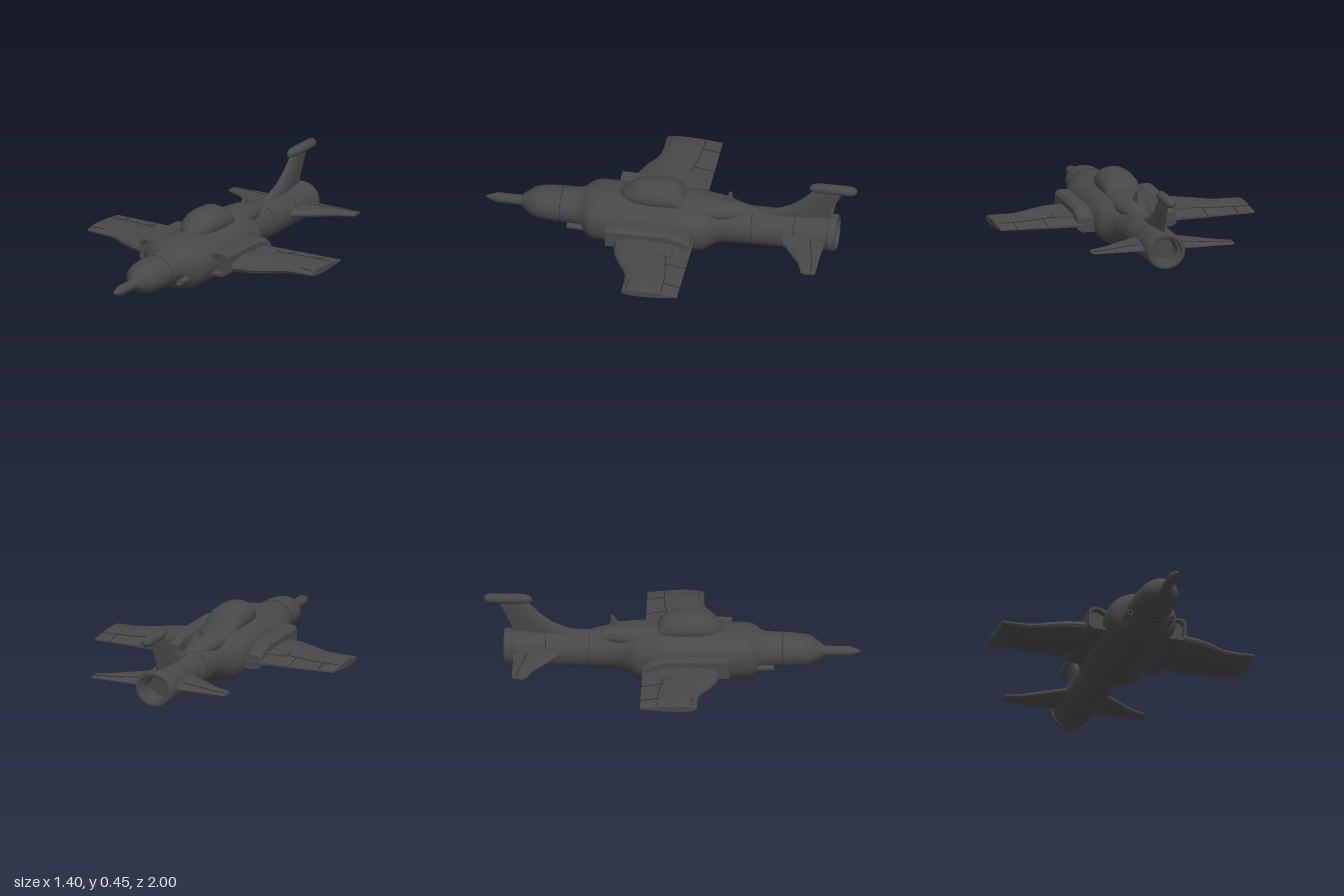
import * as THREE from 'three';
import { toCreasedNormals } from 'three/addons/utils/BufferGeometryUtils.js';

const paint = new THREE.MeshStandardMaterial({ color: 0x484848, name: 'dark grey paint' });
const lineGrey = new THREE.MeshStandardMaterial({ color: 0x2c2c2c, name: 'panel line grey' });

// Skins equal-length rings of [x, y, z] points and caps both ends.
function loft(rings, crease = 0.6) {
  const n = rings[0].length, pos = rings.flat(2), idx = [];
  for (let i = 0; i < rings.length - 1; i++) {
    for (let j = 0; j < n; j++) {
      const a = i * n + j, b = i * n + (j + 1) % n;
      idx.push(a, a + n, b, b, a + n, b + n);
    }
  }
  [0, rings.length - 1].forEach((r, end) => {
    const c = pos.length / 3;
    for (let k = 0; k < 3; k++) pos.push(rings[r].reduce((s, p) => s + p[k], 0) / n);
    for (let j = 0; j < n; j++) {
      const a = r * n + j, b = r * n + (j + 1) % n;
      idx.push(c, end ? b : a, end ? a : b);
    }
  });
  const g = new THREE.BufferGeometry();
  g.setAttribute('position', new THREE.Float32BufferAttribute(pos, 3));
  g.setIndex(idx);
  return toCreasedNormals(g, crease);
}

// Rounded cross-section: z, half width, bottom, top, squareness.
function oval([z, hw, bottom, top, p = 2], cx = 0, n = 48) {
  const cy = (bottom + top) / 2, h = (top - bottom) / 2;
  const pow = v => Math.sign(v) * Math.abs(v) ** (2 / p);
  return Array.from({ length: n }, (_, i) => {
    const a = i / n * Math.PI * 2;
    return [cx + hw * pow(Math.cos(a)), cy + h * pow(Math.sin(a)), z];
  });
}
const body = (sections, cx = 0, n = 48) => loft(sections.map(s => oval(s, cx, n)));

// Airfoil outline: [chord fraction, relative half thickness].
const foil = [[0, 0], [0.02, 0.4], [0.09, 0.75], [0.22, 0.97], [0.4, 1], [0.7, 0.7], [1, 0.14]];
function airfoil(front, back) {
  const at = ([t, h]) => [front + (back - front) * t, h];
  return [...foil.map(at), ...foil.slice(1).reverse().map(([t, h]) => at([t, -h]))];
}
// Wing sections: x, leading z, trailing z, mid height, half thickness.
const wingGeometry = sections => loft(sections.map(([x, f, b, y, t]) =>
  airfoil(f, b).map(([z, h]) => [x, y + h * t, z])));

// Reflects a geometry across x and restores its face order.
function mirrored(geo) {
  const g = geo.index ? geo.toNonIndexed() : geo.clone();
  for (const name of ['position', 'normal']) {
    const a = g.attributes[name].array;
    for (let i = 0; i < a.length; i += 3) a[i] = -a[i];
    for (let t = 0; t < a.length; t += 9) {
      for (let k = 3; k < 6; k++) [a[t + k], a[t + k + 3]] = [a[t + k + 3], a[t + k]];
    }
  }
  return g;
}

// Thin strip between two points.
function strip(a, b, width = 0.004) {
  const p = new THREE.Vector3(...a), q = new THREE.Vector3(...b);
  const g = new THREE.BoxGeometry(width, 0.003, p.distanceTo(q));
  const o = new THREE.Object3D();
  o.position.copy(p).add(q).multiplyScalar(0.5);
  o.lookAt(q);
  o.updateMatrix();
  return g.applyMatrix4(o.matrix);
}

export function createModel() {
  const model = new THREE.Group();
  model.name = 'jetAircraft';
  const add = (name, geo, mat = paint) => {
    const m = new THREE.Mesh(geo, mat);
    m.name = name;
    model.add(m);
  };
  const pair = (name, geo, mat = paint) => {
    add(name + 'Left', geo, mat);
    add(name + 'Right', mirrored(geo), mat);
  };

  // Fuselage with the open jet nozzle folded in at the back
  add('fuselage', body([
    [0.81, 0.028, 0.108, 0.164], [0.785, 0.05, 0.087, 0.185], [0.74, 0.088, 0.064, 0.215],
    [0.70, 0.1, 0.057, 0.224], [0.64, 0.106, 0.052, 0.23], [0.5, 0.113, 0.047, 0.233],
    [0.475, 0.122, 0.036, 0.238, 2.1], [0.45, 0.155, 0.018, 0.252, 2.2], [0.425, 0.177, 0.008, 0.26, 2.3],
    [0.39, 0.186, 0.002, 0.264, 2.35], [0.28, 0.187, 0, 0.266, 2.35], [0, 0.187, 0, 0.27, 2.35],
    [-0.17, 0.186, 0, 0.262, 2.35], [-0.2, 0.172, 0.004, 0.256, 2.25], [-0.23, 0.145, 0.016, 0.248, 2.1],
    [-0.26, 0.118, 0.026, 0.242], [-0.3, 0.107, 0.03, 0.238], [-0.45, 0.106, 0.032, 0.235],
    [-0.66, 0.106, 0.037, 0.235], [-0.835, 0.104, 0.042, 0.234], [-0.84, 0.1, 0.046, 0.23],
    [-0.85, 0.1, 0.046, 0.23], [-0.855, 0.108, 0.04, 0.236], [-0.88, 0.107, 0.041, 0.235],
    [-0.893, 0.1, 0.047, 0.229], [-0.893, 0.084, 0.059, 0.217], [-0.875, 0.078, 0.064, 0.212],
    [-0.87, 0.066, 0.074, 0.202], [-0.8, 0.058, 0.08, 0.196],
  ]));

  // Nose probe
  add('noseProbe', body([[1, 0.004, 0.132, 0.14], [0.99, 0.011, 0.125, 0.147], [0.945, 0.027, 0.109, 0.163],
    [0.935, 0.028, 0.108, 0.164], [0.87, 0.027, 0.109, 0.163], [0.79, 0.028, 0.108, 0.164]], 0, 24));

  // Canopy and the spine behind it
  add('canopy', body([[0.28, 0.01, 0.23, 0.267], [0.262, 0.04, 0.22, 0.288], [0.235, 0.068, 0.21, 0.314],
    [0.19, 0.088, 0.2, 0.343], [0.14, 0.098, 0.2, 0.356], [0.08, 0.102, 0.2, 0.36], [0, 0.101, 0.2, 0.354],
    [-0.04, 0.098, 0.2, 0.335], [-0.07, 0.09, 0.2, 0.3], [-0.085, 0.08, 0.2, 0.27]]));
  add('spine', body([[0.2, 0.1, 0.17, 0.275, 2.4], [0, 0.108, 0.17, 0.286, 2.4], [-0.2, 0.1, 0.17, 0.284, 2.2],
    [-0.29, 0.085, 0.17, 0.279], [-0.37, 0.06, 0.17, 0.258], [-0.46, 0.04, 0.17, 0.236]]));

  // Swept blade antenna
  add('antenna', loft([[0.26, -0.255, -0.335, 0.014], [0.285, -0.275, -0.33, 0.011],
    [0.31, -0.3, -0.327, 0.009], [0.332, -0.31, -0.325, 0.007]]
    .map(([y, f, b, t]) => airfoil(f, b).map(([z, h]) => [-h * t, y, z]))));

  // Main wings
  const wing = [[0.16, 0.28, -0.15, 0.117, 0.043], [0.27, 0.265, -0.15, 0.117, 0.042],
    [0.36, 0.25, -0.15, 0.118, 0.039], [0.44, 0.215, -0.15, 0.119, 0.034], [0.5, 0.177, -0.15, 0.12, 0.03],
    [0.55, 0.157, -0.15, 0.121, 0.027], [0.61, 0.152, -0.15, 0.122, 0.025],
    [0.695, 0.152, -0.15, 0.123, 0.022], [0.702, 0.148, -0.147, 0.123, 0.017]];
  pair('wing', wingGeometry(wing));
  // Upper wing surface height at chord fraction t of a section
  const top = ([x, f, b, y, th], i) => {
    const [t, h] = foil[i];
    return [x, y + h * th + 0.0005, f + (b - f) * t];
  };
  for (let i = 1; i < 7; i++) pair('aileronLine', strip(top(wing[i], 5), top(wing[i + 1], 5)), lineGrey);
  for (const s of [3, 6]) pair('flapGap', strip(top(wing[s], 5), top(wing[s], 6)), lineGrey);
  pair('tipLine', strip(top(wing[6], 2), top(wing[7], 2)), lineGrey);

  // Wing root boxes with a shallow recess at the front
  const box = (z, inset, drop = 0) => [[0.15, 0.078 + inset], [0.25 - inset, 0.078 + inset],
    [0.272 - inset, 0.095 + inset], [0.272 - inset, 0.185 - inset - drop], [0.255 - inset, 0.204 - inset - drop],
    [0.2 + inset, 0.204 - inset - drop], [0.182 + inset, 0.19 - inset - drop], [0.15, 0.18 - inset - drop]]
    .map(([x, y]) => [x, y, z]);
  pair('wingRootBox', loft([box(0.28, 0.016), box(0.312, 0.012), box(0.312, 0),
    box(-0.03, 0), box(-0.1, 0, 0.022), box(-0.14, 0, 0.05)], 0.4));
  pair('flapFairing', new THREE.BoxGeometry(0.11, 0.012, 0.1).translate(0.325, 0.147, -0.01));

  // Side ducts on the nose, each an open tube
  pair('noseDuct', body([[0.51, 0.009, 0.078, 0.096], [0.545, 0.011, 0.076, 0.098],
    [0.545, 0.016, 0.071, 0.103], [0.44, 0.017, 0.07, 0.104]], 0.118, 16));

  // Tailplanes
  const tail = [[0.07, -0.565, -0.84, 0.14, 0.027], [0.11, -0.595, -0.84, 0.14, 0.025],
    [0.21, -0.665, -0.84, 0.14, 0.02], [0.31, -0.735, -0.84, 0.14, 0.015],
    [0.385, -0.762, -0.84, 0.14, 0.011], [0.392, -0.768, -0.838, 0.14, 0.007]];
  pair('tailplane', wingGeometry(tail));
  for (let i = 1; i < 4; i++) pair('elevatorLine', strip(top(tail[i], 5), top(tail[i + 1], 5)), lineGrey);

  // Fin with a pod across its tip
  add('fin', loft([[0.2, -0.44, -0.83, 0.03], [0.235, -0.5, -0.842, 0.028], [0.255, -0.565, -0.85, 0.026],
    [0.285, -0.635, -0.863, 0.023], [0.33, -0.695, -0.885, 0.021], [0.38, -0.745, -0.91, 0.018],
    [0.425, -0.78, -0.932, 0.016]]
    .map(([y, f, b, t]) => airfoil(f, b).map(([z, h]) => [-h * t, y, z]))));
  add('finPod', body([[-0.745, 0.008, 0.405, 0.424], [-0.755, 0.018, 0.4, 0.436], [-0.78, 0.026, 0.396, 0.444],
    [-0.83, 0.028, 0.395, 0.447], [-0.96, 0.028, 0.395, 0.447], [-0.985, 0.023, 0.4, 0.443],
    [-0.997, 0.013, 0.408, 0.434], [-1, 0.004, 0.416, 0.425]], 0, 24));

  // Panel joints around the fuselage
  for (const [z, hw, b, t] of [[0.59, 0.1095, 0.049, 0.232], [-0.44, 0.1065, 0.0315, 0.2355], [-0.67, 0.1065, 0.037, 0.2355]])
    add('panelJoint', body([[z + 0.0015, hw, b, t], [z - 0.0015, hw, b, t]]), lineGrey);

  return model;
}
